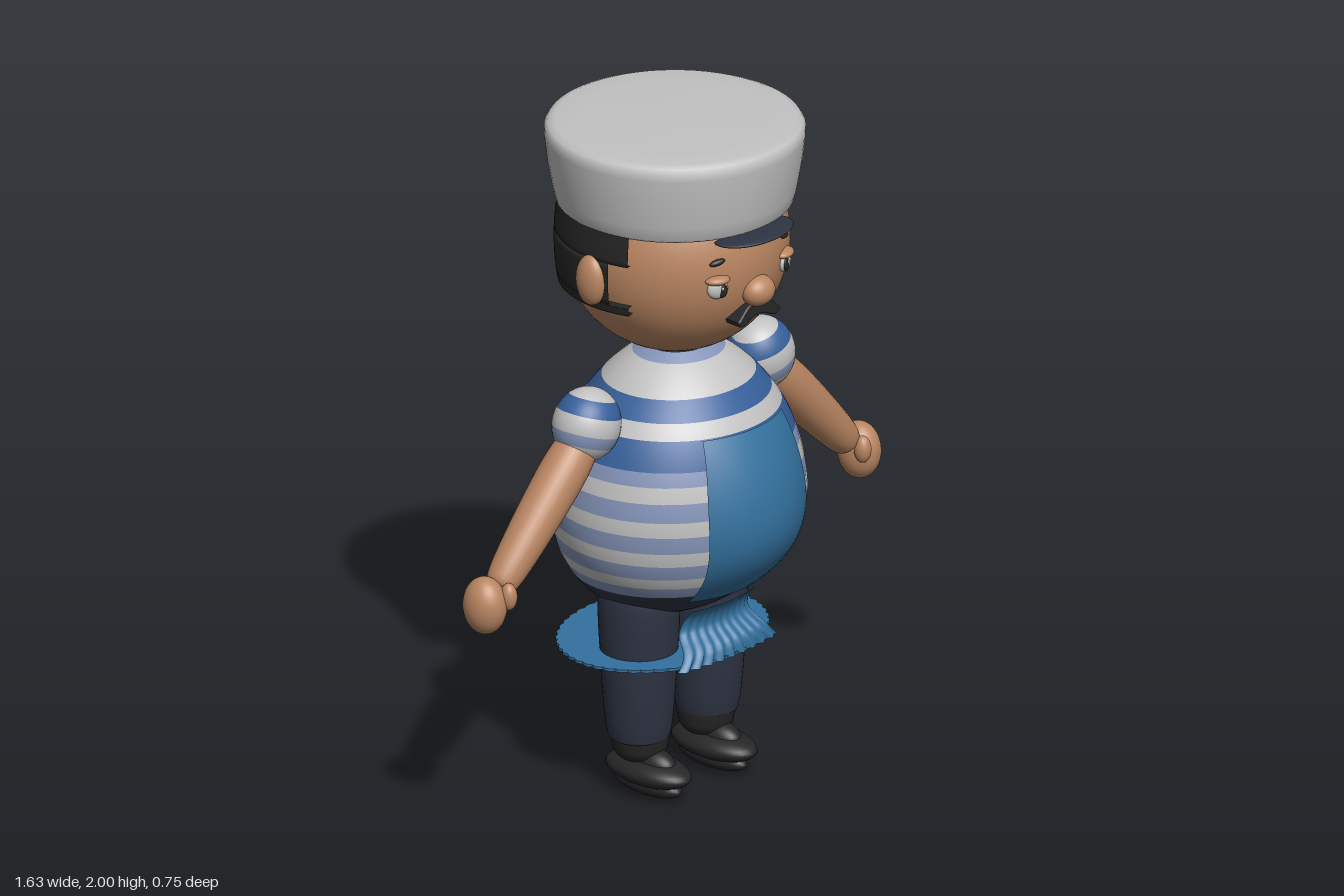
import * as THREE from 'three';

const mat = (name, color, side = THREE.FrontSide) => {
  const m = new THREE.MeshStandardMaterial({ color, side });
  m.name = name;
  return m;
};
const M = {
  white: mat('white', 0xc2c2c2),
  blue: mat('stripe blue', 0x36609a),
  paleBlue: mat('pale stripe blue', 0x8494b8),
  apron: mat('apron blue', 0x33719e, THREE.DoubleSide),
  navy: mat('trouser navy', 0x2d3342),
  skin: mat('skin', 0xba8662),
  black: mat('hair black', 0x262626, THREE.DoubleSide),
};
const V2 = (a) => a.map(([x, y]) => new THREE.Vector2(x, y));

export function createModel() {
  const root = new THREE.Group();
  const add = (name, geo, material, x = 0, y = 0, z = 0, parent = root) => {
    const m = new THREE.Mesh(geo, material);
    m.name = name;
    m.position.set(x, y, z);
    parent.add(m);
    return m;
  };
  const ball = (name, material, r, p, parent) =>
    add(name, new THREE.SphereGeometry(1, 32, 20).scale(...r), material, ...p, parent);
  const smoothProfile = (pts, n = 24) => new THREE.SplineCurve(V2(pts)).getPoints(n)
    .map((p) => new THREE.Vector2(Math.max(p.x, 0), p.y));

  // Body: elliptical barrel, radius by height, sliced into stripes
  const heights = [0.515, 0.53, 0.56, 0.6, 0.66, 0.75, 0.87, 1.0, 1.12, 1.19, 1.25, 1.3, 1.33];
  const radii = [0.03, 0.11, 0.185, 0.24, 0.3, 0.354, 0.376, 0.358, 0.312, 0.265, 0.21, 0.148, 0.1];
  const curve = new THREE.CubicInterpolant(heights, radii, 1);
  const bodyR = (y) => curve.evaluate(y)[0];
  const DEPTH = 0.91;
  const lean = (y) => (y < 0.87 ? -0.6 * (y - 0.87) ** 2 : 0);
  const stripes = [
    [0.515, 'navy'], [0.66, 'paleBlue'], [0.7, 'white'], [0.738, 'paleBlue'], [0.785, 'white'],
    [0.828, 'paleBlue'], [0.878, 'white'], [0.922, 'paleBlue'], [0.975, 'white'], [1.02, 'paleBlue'],
    [1.06, 'blue'], [1.14, 'white'], [1.182, 'blue'], [1.235, 'white'], [1.308, 'paleBlue'], [1.33],
  ];
  const body = new THREE.Group();
  body.name = 'body';
  root.add(body);
  for (let i = 0; i < stripes.length - 1; i++) {
    const [y0, key] = stripes[i];
    const y1 = stripes[i + 1][0];
    const n = Math.max(4, Math.round((y1 - y0) / 0.01));
    const pts = [];
    for (let j = 0; j <= n; j++) {
      const y = y0 + ((y1 - y0) * j) / n;
      pts.push([bodyR(y), y]);
    }
    if (i === 0) pts.unshift([0, y0 - 0.003]);
    const g = new THREE.LatheGeometry(V2(pts), 56).scale(1, 1, DEPTH);
    const p = g.attributes.position;
    for (let k = 0; k < p.count; k++) p.setZ(k, p.getZ(k) + lean(p.getY(k)));
    add(i === 0 ? 'trouserSeat' : 'shirtStripe', g, M[key], 0, 0, 0, body);
  }

  // Sheet bent by a rule: fn(u in -1..1, t in 0..1 upwards) gives a point
  const sheet = (name, fn, nu, nt) => {
    const g = new THREE.PlaneGeometry(2, 1, nu, nt);
    const p = g.attributes.position;
    for (let k = 0; k < p.count; k++) p.setXYZ(k, ...fn(p.getX(k), p.getY(k) + 0.5));
    g.computeVertexNormals();
    return add(name, g, M.apron);
  };
  sheet('apronPanel', (u, t) => {
    const y = 0.635 + 0.505 * t;
    const x = u * (0.16 + 0.036 * Math.sin(Math.PI * t));
    const bulge = 0.01 + 0.02 * (1 - u * u) * Math.sin(Math.PI * t);
    return [x, y, DEPTH * Math.sqrt(bodyR(y) ** 2 - x * x) + lean(y) + bulge];
  }, 20, 24);

  // Apron flap below the belly, flaring into the frilled hem
  const flapZ = new THREE.CubicInterpolant([0, 0.25, 0.5, 0.8, 1], [0.205, 0.195, 0.155, 0.165, 0.195], 1);
  sheet('apronFlap', (u, t) => {
    const w = 0.13 + 0.075 * (1 - t) ** 2.5;
    const frill = 0.006 * (1 - t) * Math.cos(u * 30);
    return [u * w, 0.43 + 0.165 * t, flapZ.evaluate(t)[0] + frill - 0.02 * u * u];
  }, 60, 14);
  const rim = [];
  for (let i = 0; i < 240; i++) {
    const a = (i / 240) * Math.PI * 2;
    const k = 1 - 0.02 * (1 - Math.abs(Math.sin(a * 24)));
    rim.push([0.33 * k * Math.cos(a), 0.265 * k * Math.sin(a)]);
  }
  const hem = new THREE.ExtrudeGeometry(new THREE.Shape(V2(rim)), { depth: 0.008, bevelEnabled: false });
  add('apronHem', hem.rotateX(-Math.PI / 2), M.apron, 0, 0.428, -0.062);

  // Head
  const R = 0.322, CY = 1.637, CZ = -0.015;
  const faceZ = (x, y) => CZ + Math.sqrt(R * R - x * x - (y - CY) ** 2);
  add('head', new THREE.SphereGeometry(R, 48, 32), M.skin, 0, CY, CZ);
  ball('nose', M.skin, [0.053, 0.045, 0.045], [0, 1.565, 0.302]);

  // Hair: band round the back with sideburn steps around the ears
  const hairBand = (y0, y1, phi) => {
    const r = (y) => 0.337 - 0.7 * (y - 1.64) ** 2;
    const pts = [[0.28, y0]];
    for (let j = 0; j <= 8; j++) {
      const y = y0 + ((y1 - y0) * j) / 8;
      pts.push([r(y), y]);
    }
    pts.push([0.26, y1]);
    add('hair', new THREE.LatheGeometry(V2(pts), 48, phi, 2 * (Math.PI - phi)), M.black, 0, 0, CZ);
  };
  hairBand(1.52, 1.545, 1.215);
  hairBand(1.545, 1.67, 1.4);
  hairBand(1.67, 1.77, 1.215);

  // Hat and its small peak
  const hat = [[0, 1.752], [0.322, 1.752], [0.332, 1.76], [0.342, 1.8], [0.356, 1.88], [0.364, 1.95],
    [0.364, 1.972], [0.355, 1.986], [0.335, 1.994], [0.25, 1.998], [0, 2]];
  add('hat', new THREE.LatheGeometry(V2(hat), 64), M.white, 0, 0, CZ);
  ball('hatPeak', M.navy, [0.14, 0.013, 0.08], [0, 1.736, 0.285]);

  // Moustache
  const tash = new THREE.Shape();
  tash.moveTo(0, 1.532);
  tash.bezierCurveTo(0.04, 1.54, 0.06, 1.505, 0.078, 1.49);
  tash.quadraticCurveTo(0.075, 1.47, 0.045, 1.485);
  tash.quadraticCurveTo(0.02, 1.5, 0, 1.497);
  tash.quadraticCurveTo(-0.02, 1.5, -0.045, 1.485);
  tash.quadraticCurveTo(-0.075, 1.47, -0.078, 1.49);
  tash.bezierCurveTo(-0.06, 1.505, -0.04, 1.54, 0, 1.532);
  add('moustache', new THREE.ExtrudeGeometry(tash, {
    depth: 0.04, bevelSize: 0.005, bevelThickness: 0.008, bevelSegments: 3, curveSegments: 10,
  }), M.black, 0, 0, 0.262);

  const up = new THREE.Vector3(0, 1, 0);
  for (const s of [1, -1]) {
    // Face details
    const ex = 0.135 * s;
    ball('ear', M.skin, [0.035, 0.075, 0.05], [0.333 * s, 1.605, -0.02]);
    const ez = faceZ(ex, 1.602);
    ball('eyeWhite', M.white, [0.031, 0.029, 0.016], [ex, 1.602, ez]).rotation.y = 0.4 * s;
    ball('iris', M.black, [0.015, 0.021, 0.006], [ex - 0.006 * s, 1.599, ez + 0.014]).rotation.y = 0.4 * s;
    ball('eyeGlint', M.white, [0.004, 0.005, 0.003], [ex - 0.002 * s, 1.607, ez + 0.019]);
    ball('eyelid', M.skin, [0.037, 0.014, 0.026], [ex, 1.629, faceZ(ex, 1.629) - 0.002]).rotation.y = 0.4 * s;
    const brow = ball('eyebrow', M.black, [0.024, 0.009, 0.01], [ex, 1.681, faceZ(ex, 1.681)]);
    brow.rotation.set(0, 0.4 * s, -0.2 * s);

    // Puffed sleeve in striped bands
    const sleeve = new THREE.Group();
    sleeve.name = 'sleeve';
    sleeve.position.set(0.352 * s, 1.175, -0.02);
    sleeve.rotation.z = 0.3 * s;
    root.add(sleeve);
    const cuts = [0, 0.75, 1.25, 1.75, 2.1, Math.PI];
    ['white', 'blue', 'white', 'paleBlue', 'white'].forEach((c, i) => {
      const g = new THREE.SphereGeometry(1, 32, 8, 0, Math.PI * 2, cuts[i], cuts[i + 1] - cuts[i]);
      add('sleeveBand', g.scale(0.1, 0.107, 0.095), M[c], 0, 0, 0, sleeve);
    });

    // Arm, hand and thumb
    const a = new THREE.Vector3(0.36 * s, 1.15, -0.02);
    const b = new THREE.Vector3(0.712 * s, 0.785, -0.022);
    const dir = b.clone().sub(a);
    const L = dir.length();
    const armPts = [[0.055, 0], [0.067, 0.2], [0.066, 0.45], [0.058, 0.75], [0.049, 0.92], [0.035, 0.98], [0, 1]]
      .map(([r, t]) => [r, t * L]);
    const arm = add('arm', new THREE.LatheGeometry(smoothProfile(armPts), 28), M.skin, a.x, a.y, a.z);
    arm.quaternion.setFromUnitVectors(up, dir.normalize());
    ball('hand', M.skin, [0.058, 0.084, 0.066], [0.757 * s, 0.752, -0.026]);
    ball('thumb', M.skin, [0.024, 0.04, 0.025], [0.716 * s, 0.78, 0.026]);

    // Leg, ankle and shoe
    const leg = [[0, 0.165], [0.075, 0.168], [0.09, 0.19], [0.1, 0.28], [0.109, 0.42], [0.115, 0.58], [0.1, 0.66]];
    add('trouserLeg', new THREE.LatheGeometry(smoothProfile(leg, 30), 32), M.navy, 0.138 * s, 0, -0.022);
    const ankle = [[0, 0.1], [0.05, 0.105], [0.072, 0.125], [0.08, 0.15], [0.083, 0.185], [0.06, 0.19]];
    add('ankle', new THREE.LatheGeometry(smoothProfile(ankle), 28), M.black, 0.133 * s, 0, -0.022);
    ball('shoe', M.black, [0.08, 0.042, 0.147], [0.133 * s, 0.075, 0.01]);
    ball('shoeSole', M.black, [0.045, 0.034, 0.125], [0.133 * s, 0.034, 0.005]);
    ball('shoeInstep', M.black, [0.045, 0.045, 0.08], [0.133 * s, 0.098, 0.025]);
  }
  return root;
}
